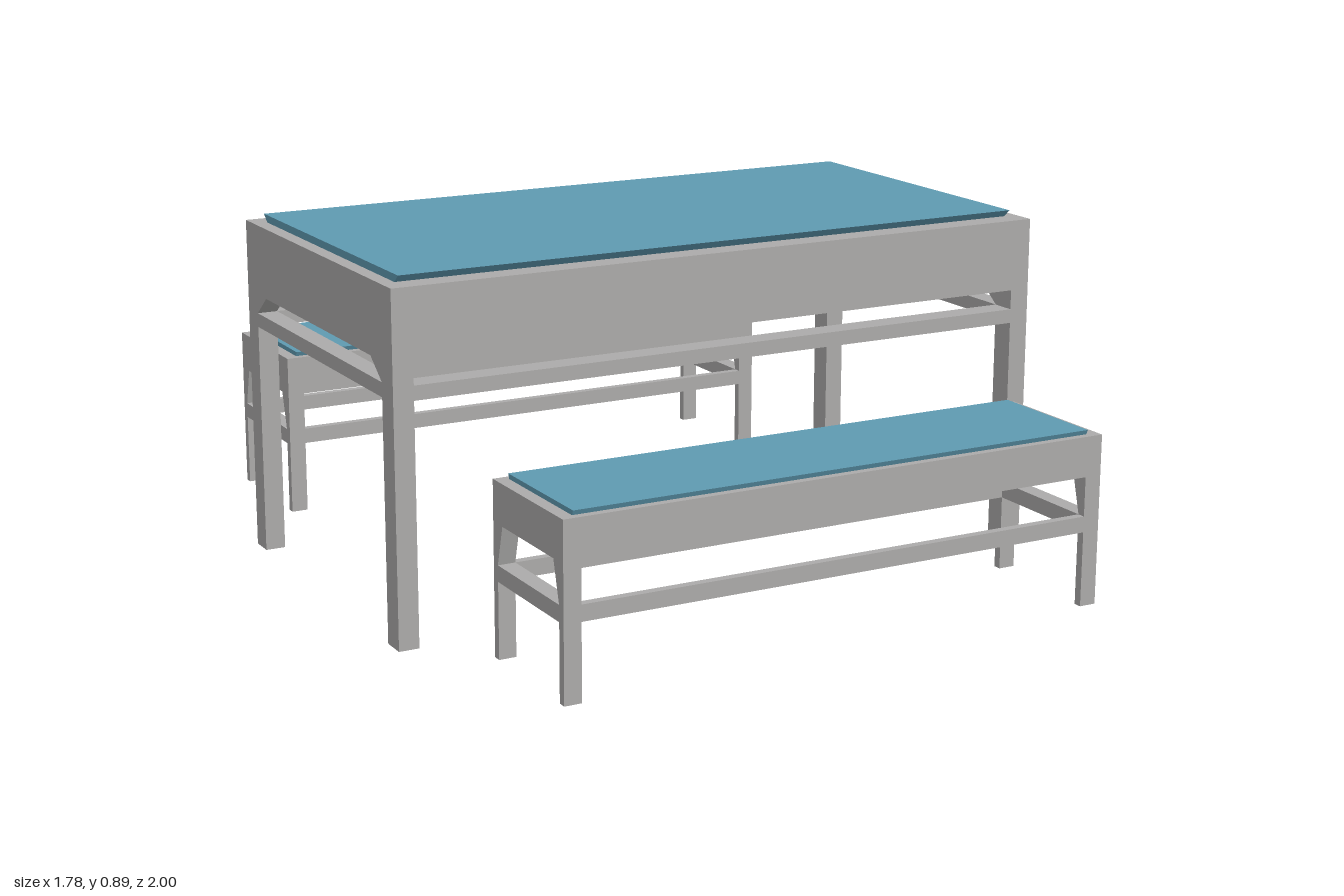
import * as THREE from 'three';

const frameGrey = new THREE.MeshStandardMaterial({ color: 0xacabaa });
frameGrey.name = 'frame grey';
const topBlue = new THREE.MeshStandardMaterial({ color: 0x5f9ab1 });
topBlue.name = 'top blue';

function add(group, name, geometry, material, x = 0, y = 0, z = 0) {
  const mesh = new THREE.Mesh(geometry, material);
  mesh.name = name;
  mesh.position.set(x, y, z);
  group.add(mesh);
  return mesh;
}

// End frame: two legs, rail and apron cut from one board, with a tapered opening
function endFrameGeometry(p) {
  const h = p.halfZ, i = h - p.legZ;
  const outline = new THREE.Shape([
    [-h, p.foot], [-i, p.foot], [-i, p.railLow], [i, p.railLow],
    [i, p.foot], [h, p.foot], [h, p.top], [-h, p.top],
  ].map(([a, b]) => new THREE.Vector2(a, b)));
  outline.holes.push(new THREE.Path([
    [-i, p.railHigh], [-p.openTop, p.apronLow], [p.openTop, p.apronLow], [i, p.railHigh],
  ].map(([a, b]) => new THREE.Vector2(a, b))));
  const g = new THREE.ExtrudeGeometry(outline, { depth: p.legX, bevelEnabled: false });
  return g.translate(0, 0, -p.legX / 2).rotateY(Math.PI / 2);
}

// Top panel, a little narrower at its underside
function panelGeometry(p) {
  const height = p.panelTop - p.top;
  const g = new THREE.BoxGeometry(p.panelX * 2, height, p.panelZ * 2).toNonIndexed();
  const pos = g.attributes.position;
  for (let k = 0; k < pos.count; k++) {
    if (pos.getY(k) < 0) pos.setZ(k, Math.sign(pos.getZ(k)) * p.panelLowZ);
  }
  g.computeVertexNormals();
  return g;
}

function createPiece(name, p) {
  const group = new THREE.Group();
  group.name = name;
  const end = endFrameGeometry(p);
  const length = 2 * (p.halfX - p.legX);
  const bar = (low, high) => new THREE.BoxGeometry(length, high - low, p.legZ);
  const apron = bar(p.apronLow, p.top), rail = bar(p.railLow, p.railHigh);
  for (const s of [1, -1]) {
    add(group, s > 0 ? 'leftEndFrame' : 'rightEndFrame', end, frameGrey, s * (p.halfX - p.legX / 2));
    const side = s > 0 ? 'front' : 'back';
    const z = s * (p.halfZ - p.legZ / 2);
    add(group, side + 'Apron', apron, frameGrey, 0, (p.apronLow + p.top) / 2, z);
    add(group, side + 'Rail', rail, frameGrey, 0, (p.railLow + p.railHigh) / 2, z);
  }
  add(group, 'topPanel', panelGeometry(p), topBlue, 0, (p.top + p.panelTop) / 2, p.panelShift);
  return group;
}

const tableSizes = {
  halfX: 0.888, halfZ: 0.47, legX: 0.052, legZ: 0.064, foot: 0,
  railLow: 0.6, railHigh: 0.636, apronLow: 0.686, top: 0.868, openTop: 0.341,
  panelTop: 0.887, panelX: 0.852, panelZ: 0.431, panelLowZ: 0.41, panelShift: -0.002,
};
const benchSizes = {
  halfX: 0.726, halfZ: 0.177, legX: 0.044, legZ: 0.0215, foot: 0.014,
  railLow: 0.203, railHigh: 0.243, apronLow: 0.342, top: 0.443, openTop: 0.129,
  panelTop: 0.455, panelX: 0.694, panelZ: 0.1625, panelLowZ: 0.157, panelShift: 0,
};

export function createModel() {
  const model = new THREE.Group();
  model.name = 'tableWithBenches';
  const table = createPiece('table', tableSizes);
  table.position.z = 0.004;
  model.add(table);
  for (const s of [1, -1]) {
    const bench = createPiece(s > 0 ? 'frontBench' : 'backBench', benchSizes);
    bench.position.set(0.005, 0, s * 0.823);
    model.add(bench);
  }
  return model;
}
